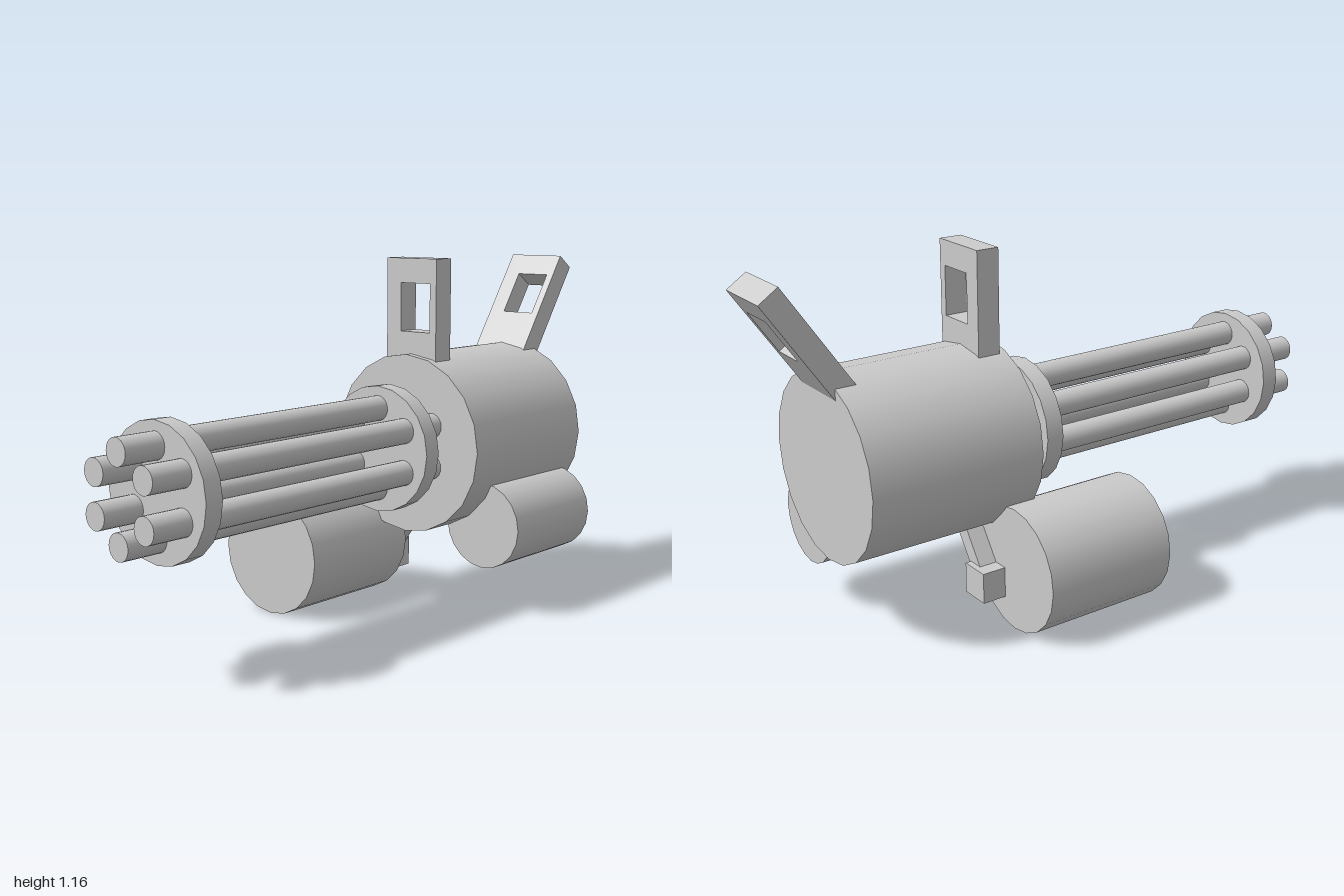
import * as THREE from 'three';

const material = new THREE.MeshStandardMaterial({ color: 0xcccccc });
const AXIS_X = 0.055, AXIS_Y = 0.56;

export function createModel() {
  const model = new THREE.Group();

  function add(name, geometry, parent = model) {
    const mesh = new THREE.Mesh(geometry, material);
    mesh.name = name;
    parent.add(mesh);
    return mesh;
  }

  // Cylinder lying along z between z0 and z1
  function drum(name, x, y, radius, z0, z1, parent) {
    const geometry = new THREE.CylinderGeometry(radius, radius, z1 - z0, 20);
    geometry.rotateX(Math.PI / 2);
    add(name, geometry, parent).position.set(x, y, (z0 + z1) / 2);
  }

  // Main housing and the two side drums
  drum('housing', AXIS_X, AXIS_Y, 0.295, -0.785, -0.2);
  drum('ammoDrum', -0.23, 0.203, 0.202, -0.305, 0.15);
  drum('motorDrum', 0.285, 0.297, 0.143, -0.735, -0.32);

  // Six barrels around the axis, held by two discs
  const barrels = new THREE.Group();
  barrels.name = 'barrels';
  model.add(barrels);
  const spots = [[0.055, 0.693], [0.055, 0.433], [0.163, 0.63], [0.163, 0.495], [-0.042, 0.626], [-0.042, 0.503]];
  for (const [x, y] of spots) drum('barrel', x, y, 0.041, -0.22, 1, barrels);
  drum('frontDisc', 0.053, AXIS_Y, 0.205, 0.805, 0.865, barrels);
  drum('rearDisc', 0.053, AXIS_Y, 0.205, -0.12, -0.06, barrels);

  // Handle plate with a window; origin at the top edge of its front face
  function handle(name, length) {
    const w = 0.1025;
    const shape = new THREE.Shape([[-w, -length], [w, -length], [w, 0], [-w, 0]].map(p => new THREE.Vector2(...p)));
    const hole = [[-0.0435, -0.238], [-0.0435, -0.08], [0.0765, -0.08], [0.0765, -0.238]];
    shape.holes.push(new THREE.Path(hole.map(p => new THREE.Vector2(...p))));
    const geometry = new THREE.ExtrudeGeometry(shape, { depth: 0.076, bevelEnabled: false });
    geometry.translate(0, 0, -0.076);
    return add(name, geometry);
  }
  handle('frontHandle', 0.4).position.set(AXIS_X, 1.165, -0.225);
  const rear = handle('rearHandle', 0.42);
  rear.position.set(AXIS_X, 1.155, -0.935);
  rear.rotation.x = -0.598;

  // Bracket joining the ammo drum to the housing
  add('bracketBlock', new THREE.BoxGeometry(0.1, 0.1, 0.085)).position.set(-0.13, 0.14, -0.3425);
  const from = new THREE.Vector2(-0.125, 0.155), to = new THREE.Vector2(-0.015, 0.31);
  const strut = add('bracketStrut', new THREE.BoxGeometry(0.05, from.distanceTo(to), 0.06));
  strut.position.set((from.x + to.x) / 2, (from.y + to.y) / 2, -0.335);
  strut.rotation.z = -Math.atan2(to.x - from.x, to.y - from.y);

  return model;
}
